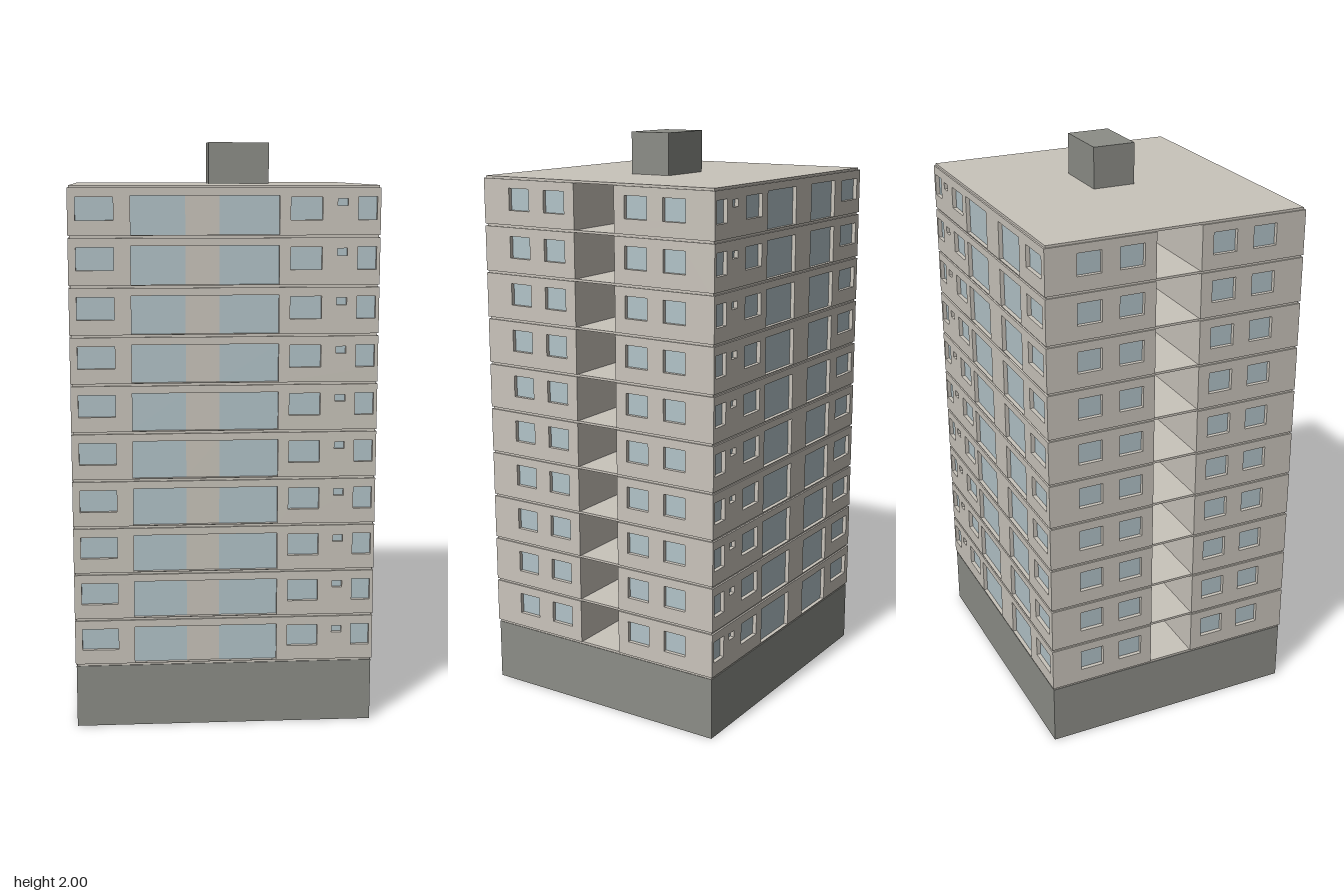
import * as THREE from 'three';
import { mergeGeometries } from 'three/addons/utils/BufferGeometryUtils.js';

const FLOORS = 10, PITCH = 0.163, BASE_TOP = 0.218;
const SLAB = 0.008, WALL_H = PITCH - SLAB, WALL_T = 0.02, RECESS = 0.014;
const HX = 0.515, HZ = 0.463, CORRIDOR = 0.081;

// Openings as [x0, x1, y0, y1], measured from the foot of a storey's wall
const SMALL = [0.05, 0.125], TALL = [0.002, 0.13];
const smallWindows = [
  [-0.49, -0.366, ...SMALL],
  [0.217, 0.322, ...SMALL],
  [0.372, 0.406, 0.096, 0.12],
  [0.44, 0.503, ...SMALL],
];
const tallWindows = [[-0.31, -0.13, ...TALL], [-0.018, 0.18, ...TALL]];
const endWindows = [[-0.355, -0.27, ...SMALL], [-0.208, -0.122, ...SMALL]];
const mirrorX = list => list.map(([a, b, c, d]) => [-b, -a, c, d]);

function rect(Type, [x0, x1, y0, y1]) {
  const p = new Type();
  p.moveTo(x0, y0);
  p.lineTo(x1, y0);
  p.lineTo(x1, y1);
  p.lineTo(x0, y1);
  p.closePath();
  return p;
}

function panelGeometry(x0, x1, openings) {
  const shape = rect(THREE.Shape, [x0, x1, 0, WALL_H]);
  shape.holes = openings.map(o => rect(THREE.Path, o));
  return new THREE.ExtrudeGeometry(shape, { depth: WALL_T, bevelEnabled: false });
}

function paneGeometry(panes) {
  return mergeGeometries(panes.map(([x0, x1, y0, y1]) =>
    new THREE.PlaneGeometry(x1 - x0, y1 - y0)
      .translate((x0 + x1) / 2, (y0 + y1) / 2, WALL_T - RECESS)));
}

export function createModel() {
  const concrete = new THREE.MeshStandardMaterial({ color: 0xc9c4bb });
  concrete.name = 'pale concrete';
  const grey = new THREE.MeshStandardMaterial({ color: 0x8c8d87 });
  grey.name = 'dark grey';
  const glass = new THREE.MeshStandardMaterial({ color: 0xb2c3c8 });
  glass.name = 'pale blue glass';

  const model = new THREE.Group();
  model.name = 'towerBlock';

  function mesh(name, geometry, material, parent) {
    const m = new THREE.Mesh(geometry, material);
    m.name = name;
    parent.add(m);
    return m;
  }
  function box(name, w, h, d, x, y, z, material, parent = model) {
    const m = mesh(name, new THREE.BoxGeometry(w, h, d), material, parent);
    m.position.set(x, y + h / 2, z);
    return m;
  }

  // Plinth, and the lift core that rises through the roof
  box('plinth', 1.024, BASE_TOP, 0.92, 0, 0, 0, grey);
  box('liftCore', 0.214, 2 - BASE_TOP, 0.152, 0.076, BASE_TOP, 0, grey);

  // The two tall windows on the front share one recess with a set-back pier
  const frontWall = panelGeometry(-HX, HX, [...smallWindows, [-0.31, 0.18, ...TALL]]);
  const frontGlass = paneGeometry([...smallWindows, ...tallWindows]);
  const frontPier = paneGeometry([[-0.13, -0.018, ...TALL]]);
  const backOpenings = mirrorX([...smallWindows, ...tallWindows]);
  const backWall = panelGeometry(-HX, HX, backOpenings);
  const backGlass = paneGeometry(backOpenings);

  // End walls come in pairs, either side of the open corridor
  const inner = HZ - WALL_T;
  const endParts = [endWindows, mirrorX(endWindows)].map((w, i) => ({
    wall: i ? panelGeometry(CORRIDOR, inner, w) : panelGeometry(-inner, -CORRIDOR, w),
    glass: paneGeometry(w),
  }));

  for (let k = 0; k < FLOORS; k++) {
    const storey = new THREE.Group();
    storey.name = 'storey' + (k + 1);
    storey.position.y = BASE_TOP + k * PITCH + SLAB;
    model.add(storey);

    // Floor slab, slightly set back from the walls
    box('floorSlab', 1.02, SLAB, 0.914, 0, -SLAB, 0, concrete, storey);

    const front = new THREE.Group();
    front.name = 'frontFacade';
    front.position.z = inner;
    mesh('frontWall', frontWall, concrete, front);
    mesh('frontWindows', frontGlass, glass, front);
    mesh('frontPier', frontPier, concrete, front);

    const back = new THREE.Group();
    back.name = 'backFacade';
    back.position.z = -inner;
    back.rotation.y = Math.PI;
    mesh('backWall', backWall, concrete, back);
    mesh('backWindows', backGlass, glass, back);
    storey.add(front, back);

    for (const side of [1, -1]) {
      const end = new THREE.Group();
      end.name = side > 0 ? 'leftEnd' : 'rightEnd';
      end.position.x = side * (HX - WALL_T);
      end.rotation.y = side * Math.PI / 2;
      for (const part of endParts) {
        mesh('endWall', part.wall, concrete, end);
        mesh('endWindows', part.glass, glass, end);
      }
      storey.add(end);

      // Long wall lining the corridor
      box('corridorWall', 2 * (HX - WALL_T), WALL_H, WALL_T,
        0, 0, side * (CORRIDOR + WALL_T / 2), concrete, storey);
    }
  }

  // Roof slab
  box('roofSlab', 1.02, SLAB, 0.914, 0, BASE_TOP + FLOORS * PITCH, 0, concrete);

  return model;
}
